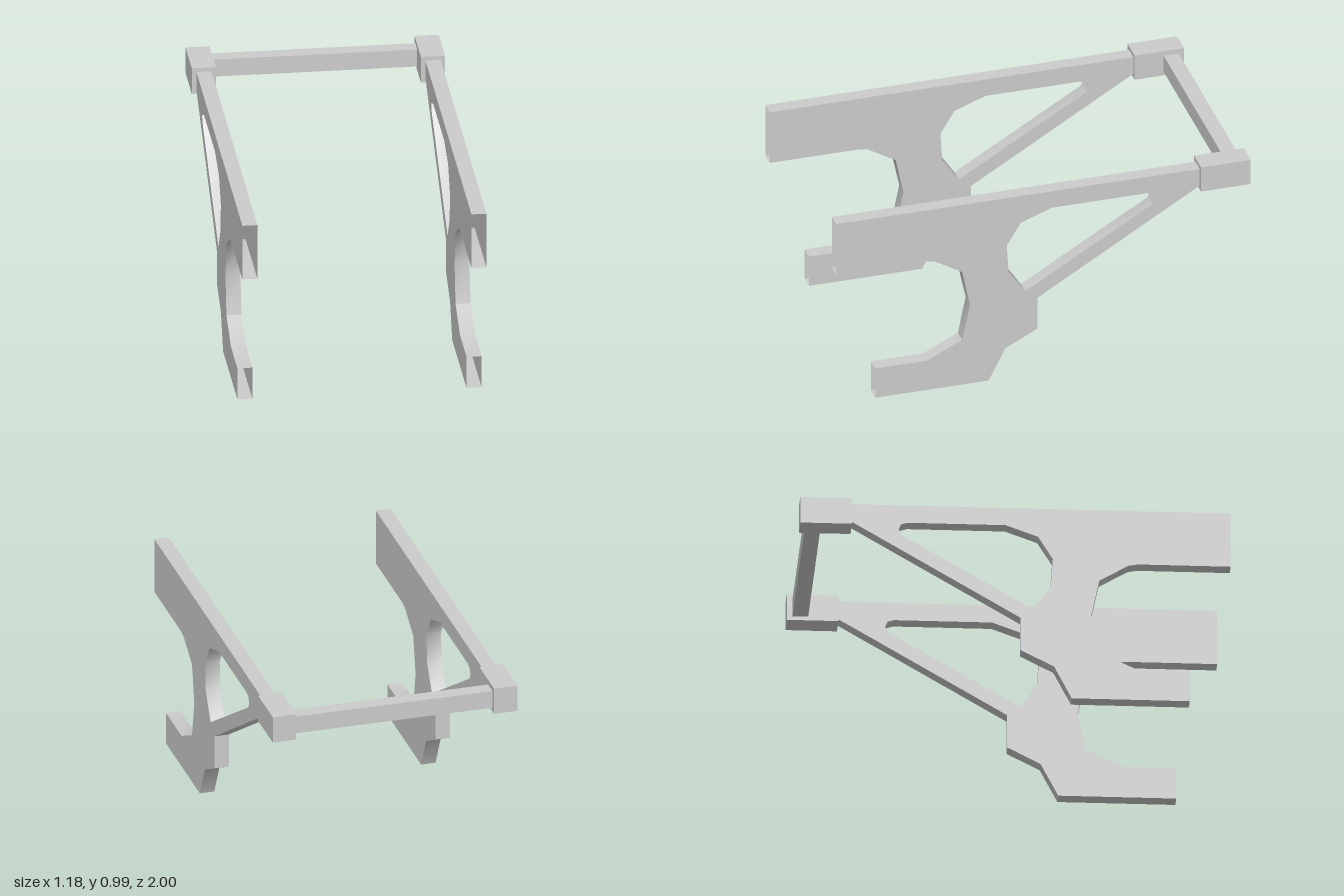
import * as THREE from 'three';
import { toCreasedNormals } from 'three/addons/utils/BufferGeometryUtils.js';

const material = new THREE.MeshStandardMaterial({ color: 0xcccccc, side: THREE.DoubleSide });
const toPoints = (list) => list.map(([z, y]) => new THREE.Vector2(z, y));

// Side plate profile, as (z, y)
const OUTLINE = [
  [1, 0.965], [-0.76, 0.965], [-0.76, 0.875], [0.025, 0.405], [0.025, 0.24],
  [0.18, 0.16], [0.262, 0], [0.81, 0], [0.81, 0.157], [0.56, 0.157],
  [0.39, 0.24], [0.352, 0.425], [0.39, 0.605], [0.525, 0.685], [0.57, 0.693], [1, 0.693],
];
const WINDOW = [
  [0.085, 0.45], [0.165, 0.57], [0.174, 0.71], [0.105, 0.822], [-0.045, 0.877],
  [-0.5, 0.877], [-0.53, 0.868], [-0.542, 0.843], [-0.527, 0.812],
];

// Drops the triangles lying in the given planes of constant x, leaving open ends
function openEnds(geometry, planes) {
  const p = geometry.attributes.position;
  const kept = [];
  for (let i = 0; i < p.count; i += 3) {
    const inPlane = planes.some((v) => [0, 1, 2].every((k) => Math.abs(p.getX(i + k) - v) < 1e-4));
    if (inPlane) continue;
    for (let k = 0; k < 3; k++) kept.push(p.getX(i + k), p.getY(i + k), p.getZ(i + k));
  }
  const open = new THREE.BufferGeometry();
  open.setAttribute('position', new THREE.Float32BufferAttribute(kept, 3));
  return open;
}

function sidePlateGeometry(thickness) {
  const shape = new THREE.Shape(toPoints(OUTLINE));
  shape.holes.push(new THREE.Path(toPoints(WINDOW)));
  const solid = new THREE.ExtrudeGeometry(shape, { depth: thickness, bevelEnabled: false });
  const shell = openEnds(solid, [1, 0.81]);
  shell.translate(0, 0, -thickness / 2).rotateY(-Math.PI / 2);
  return toCreasedNormals(shell, 0.85);
}

function addMesh(group, name, geometry, x, y, z) {
  const mesh = new THREE.Mesh(geometry, material);
  mesh.name = name;
  mesh.position.set(x, y, z);
  group.add(mesh);
}

export function createModel() {
  const group = new THREE.Group();
  group.name = 'frame';

  // Pair of hooked side plates, each ending in a rear block
  const plate = sidePlateGeometry(0.07);
  const block = new THREE.BoxGeometry(0.113, 0.13, 0.24);
  for (const [side, s] of [['left', 1], ['right', -1]]) {
    addMesh(group, `${side}SidePlate`, plate, s * 0.535, 0, 0);
    addMesh(group, `${side}RearBlock`, block, s * 0.535, 0.92, -0.88);
  }

  // Bar joining the rear blocks
  addMesh(group, 'crossBar', new THREE.BoxGeometry(0.97, 0.086, 0.073), 0, 0.917, -0.937);
  return group;
}
